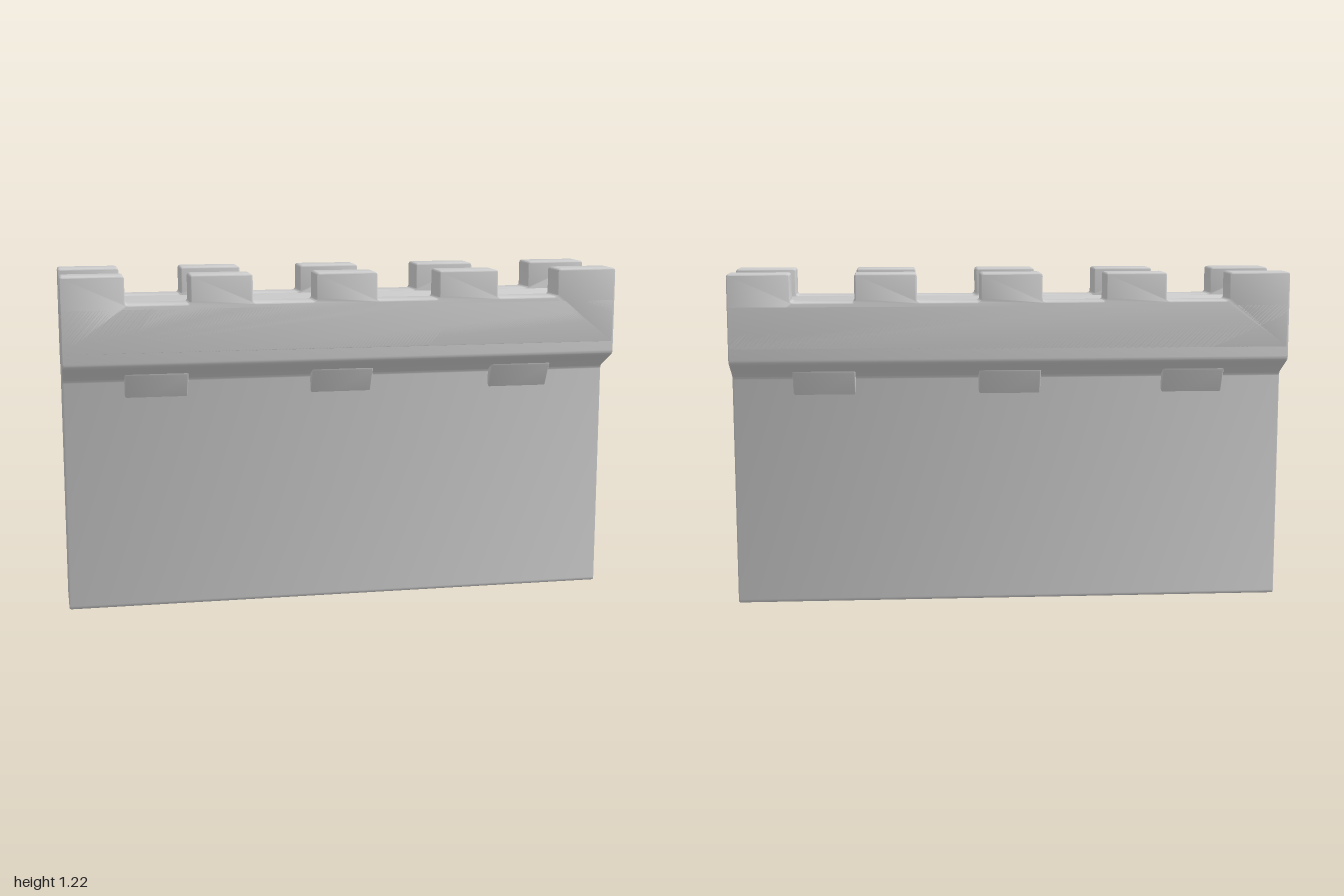
import * as THREE from 'three';
import { toCreasedNormals } from 'three/addons/utils/BufferGeometryUtils.js';

const material = new THREE.MeshStandardMaterial({ color: 0xcccccc });

// Closed outline with softly rounded corners
function roundedShape(points, r) {
  const p = points.map(([x, y]) => new THREE.Vector2(x, y));
  const shape = new THREE.Shape();
  p.forEach((c, i) => {
    const prev = p[(i + p.length - 1) % p.length];
    const next = p[(i + 1) % p.length];
    const a = c.clone().add(prev.clone().sub(c).setLength(r));
    const b = c.clone().add(next.clone().sub(c).setLength(r));
    if (i === 0) shape.moveTo(a.x, a.y);
    else shape.lineTo(a.x, a.y);
    shape.quadraticCurveTo(c.x, c.y, b.x, b.y);
  });
  shape.closePath();
  return shape;
}

// Extrusion of exact total depth, centred on its own z, with soft edges
function softExtrude(points, depth, r, bevel) {
  const geometry = new THREE.ExtrudeGeometry(roundedShape(points, r), {
    depth: depth - 2 * bevel,
    bevelThickness: bevel,
    bevelSize: bevel,
    bevelOffset: -bevel,
    bevelSegments: 4,
    curveSegments: 5,
  });
  geometry.translate(0, 0, bevel - depth / 2);
  return toCreasedNormals(geometry, 0.6);
}

function addPart(parent, name, geometry) {
  const mesh = new THREE.Mesh(geometry, material);
  mesh.name = name;
  parent.add(mesh);
  return mesh;
}

export function createModel() {
  const model = new THREE.Group();
  model.name = 'battlementWall';

  // Wall, flared overhang and walkway: one section run along x
  const half = [[0.113, 0], [0.113, 0.838], [0.231, 0.9], [0.231, 1.112]];
  const section = [...half, ...half.map(([z, y]) => [-z, y]).reverse()];
  addPart(model, 'wallBody', softExtrude(section, 2, 0.014, 0.007).rotateY(-Math.PI / 2));

  // Crenellated outline: five merlons with four gaps
  const outline = [[-1, 0.94], [1, 0.94]];
  for (let i = 2; i >= -2; i--) {
    const centre = i * 0.445;
    const right = i === 2 ? 1 : centre + 0.11;
    const left = i === -2 ? -1 : centre - 0.11;
    if (i < 2) outline.push([right, 1.115]);
    outline.push([right, 1.215], [left, 1.215]);
    if (i > -2) outline.push([left, 1.115]);
  }
  const parapet = softExtrude(outline, 0.118, 0.012, 0.007);

  // Wedge bracket under the overhang
  const wedge = [[0.08, 0.71], [0.16, 0.862], [0.16, 0.9], [0.08, 0.9]];
  const bracket = softExtrude(wedge, 0.225, 0.01, 0.007).rotateY(-Math.PI / 2);

  // Same parapet and brackets on front and back
  ['front', 'back'].forEach((name, i) => {
    const side = new THREE.Group();
    side.name = name + 'Side';
    side.rotation.y = i * Math.PI;
    addPart(side, name + 'Parapet', parapet).position.z = 0.172;
    for (const x of [-0.67, 0, 0.67]) {
      addPart(side, name + 'Bracket', bracket).position.x = x;
    }
    model.add(side);
  });

  return model;
}
